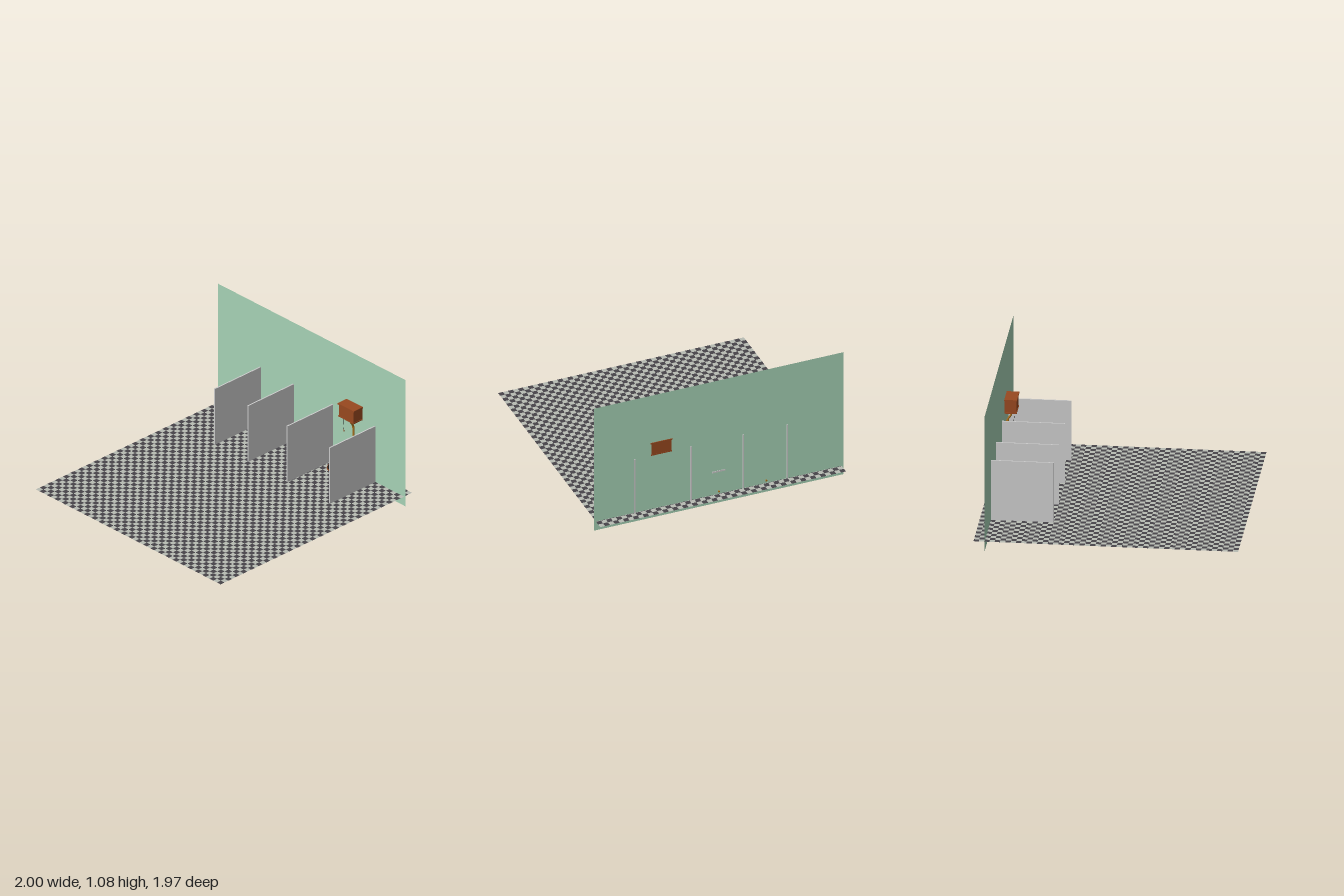
import * as THREE from 'three';
import { mergeGeometries, toCreasedNormals } from 'three/addons/utils/BufferGeometryUtils.js';

const FLOOR = 0.077, WALL_Z = -0.902;
const paint = (color, extra = {}) => new THREE.MeshStandardMaterial({ color, ...extra });
const grey = paint(0xcccccc), black = paint(0x1c1c1c), wood = paint(0x98481f), brass = paint(0xa8701c);
const water = paint(0x333638);

function add(group, name, geometry, material, x = 0, y = 0, z = 0) {
  const mesh = new THREE.Mesh(geometry, material);
  mesh.name = name;
  mesh.position.set(x, y, z);
  group.add(mesh);
  return mesh;
}

// Box given by its centre x, and y and z ranges
const block = (group, name, material, x, w, y0, y1, z0, z1) =>
  add(group, name, new THREE.BoxGeometry(w, y1 - y0, z1 - z0), material, x, (y0 + y1) / 2, (z0 + z1) / 2);

function tube(group, name, material, points, radius) {
  const curve = new THREE.CatmullRomCurve3(points.map(p => new THREE.Vector3(...p)));
  return add(group, name, new THREE.TubeGeometry(curve, 32, radius, 8), material);
}

// Loft of rounded sections: each level is [y, half width, back z, front z];
// frontPower and backPower below 1 make that end squarer
function loft(levels, frontPower = 1, backPower = 0.45, n = 32) {
  const pos = [], index = [];
  const bend = (v, p) => Math.sign(v) * Math.abs(v) ** p;
  for (const [y, w, z0, z1] of levels) {
    const mid = z0 + (z1 - z0) * 0.42;
    for (let j = 0; j < n; j++) {
      const a = (j / n) * Math.PI * 2, c = Math.cos(a);
      const p = c >= 0 ? frontPower : backPower;
      pos.push(w * bend(Math.sin(a), p), y, mid + bend(c, p) * (c >= 0 ? z1 - mid : mid - z0));
    }
  }
  for (let i = 0; i < levels.length - 1; i++)
    for (let j = 0; j < n; j++) {
      const a = i * n + j, b = i * n + (j + 1) % n;
      index.push(a, b, b + n, a, b + n, a + n);
    }
  const g = new THREE.BufferGeometry();
  g.setAttribute('position', new THREE.Float32BufferAttribute(pos, 3));
  g.setIndex(index);
  return toCreasedNormals(g, 0.7);
}

// Chequered floor: one merged mesh per tile colour
function addFloor(root) {
  const n = 50, size = 1.97 / n, tiles = [[], []];
  for (let i = 0; i < n; i++)
    for (let j = 0; j < n; j++)
      tiles[(i + j) % 2].push(new THREE.PlaneGeometry(size, size).rotateX(-Math.PI / 2)
        .translate((i + 0.5) * size - 0.985, FLOOR, (j + 0.5) * size - 0.985));
  const both = { side: THREE.DoubleSide };
  add(root, 'darkTiles', mergeGeometries(tiles[0]), paint(0x47444a, both));
  add(root, 'lightTiles', mergeGeometries(tiles[1]), paint(0xb8bcb4, both));
}

function toiletGroup(root, name, x) {
  const g = new THREE.Group();
  g.name = name;
  g.position.x = x;
  root.add(g);
  return g;
}

// Brass supply stub that passes through the wall
function addStub(g) {
  const stub = new THREE.CylinderGeometry(0.007, 0.007, 0.05, 12).rotateX(Math.PI / 2);
  add(g, 'supplyStub', stub, brass, 0, 0.1, -0.885);
}

// Small toilet with a rounded, pointed bowl
function addSmallToilet(root) {
  const g = toiletGroup(root, 'smallToilet', -0.38);
  add(g, 'bowl', loft([
    [FLOOR, 0.043, -0.87, -0.755], [0.09, 0.041, -0.87, -0.76], [0.125, 0.033, -0.865, -0.765],
    [0.15, 0.037, -0.865, -0.75], [0.172, 0.044, -0.865, -0.733], [0.181, 0.045, -0.865, -0.73],
    [0.181, 0.031, -0.845, -0.745], [0.155, 0.024, -0.835, -0.765], [0.125, 0.012, -0.825, -0.79],
    [0.122, 0.0005, -0.81, -0.809],
  ]), grey);
  block(g, 'tankShelf', grey, 0, 0.07, 0.15, 0.181, -0.9, -0.85);
  block(g, 'tank', grey, 0, 0.068, 0.181, 0.258, -0.9, -0.857);
  block(g, 'tankLid', grey, 0, 0.074, 0.258, 0.267, -0.9, -0.852);
  add(g, 'flushButton', new THREE.CylinderGeometry(0.007, 0.007, 0.005, 16), brass, 0, 0.269, -0.89);
  addStub(g);
}

// Square-shouldered toilet with a wide seat
function addSquareToilet(root) {
  const g = toiletGroup(root, 'squareToilet', 0);
  add(g, 'pedestal', loft([
    [FLOOR, 0.045, -0.89, -0.725], [0.12, 0.043, -0.89, -0.728], [0.155, 0.046, -0.89, -0.712],
    [0.158, 0.056, -0.86, -0.702], [0.185, 0.058, -0.86, -0.7], [0.187, 0.056, -0.86, -0.702],
    [0.187, 0.038, -0.81, -0.715], [0.155, 0.03, -0.805, -0.73], [0.125, 0.015, -0.79, -0.755],
    [0.123, 0.0005, -0.771, -0.77],
  ], 0.5, 0.3), grey);
  block(g, 'tankShelf', grey, 0, 0.1, 0.155, 0.187, -0.9, -0.815);
  block(g, 'tank', grey, 0, 0.096, 0.187, 0.27, -0.9, -0.822);
  block(g, 'tankFrontPanel', grey, 0, 0.08, 0.195, 0.265, -0.83, -0.818);
  block(g, 'tankLid', grey, 0, 0.106, 0.27, 0.283, -0.905, -0.815);
  add(g, 'flushButton', new THREE.CylinderGeometry(0.008, 0.008, 0.004, 16), grey, 0, 0.285, -0.86);
  addStub(g);
}

// High-tank toilet with dark bowl, wooden tank and brass pipe
function addHighTankToilet(root) {
  const g = toiletGroup(root, 'highTankToilet', 0.46);
  add(g, 'bowl', loft([
    [FLOOR, 0.062, -0.83, -0.67], [0.088, 0.06, -0.828, -0.673], [0.105, 0.045, -0.815, -0.69],
    [0.13, 0.036, -0.81, -0.695], [0.155, 0.045, -0.815, -0.67], [0.175, 0.06, -0.815, -0.645],
    [0.188, 0.062, -0.815, -0.64], [0.188, 0.046, -0.78, -0.658], [0.16, 0.035, -0.775, -0.675],
    [0.125, 0.018, -0.75, -0.7], [0.123, 0.0005, -0.726, -0.725],
  ]), black);
  add(g, 'water', loft([[0.14, 0.026, -0.765, -0.685], [0.14, 0.0005, -0.73, -0.729]]), water);
  // Seat ring with wooden edges
  add(g, 'seat', loft([
    [0.188, 0.064, -0.79, -0.636], [0.198, 0.062, -0.79, -0.638],
    [0.198, 0.044, -0.772, -0.662], [0.188, 0.043, -0.771, -0.663],
  ]), black);
  add(g, 'seatOuterEdge', loft([
    [0.188, 0.067, -0.792, -0.633], [0.195, 0.067, -0.792, -0.633], [0.195, 0.063, -0.789, -0.637],
  ]), wood);
  add(g, 'seatInnerEdge', loft([
    [0.198, 0.045, -0.773, -0.661], [0.2, 0.045, -0.773, -0.661],
    [0.2, 0.041, -0.77, -0.665], [0.188, 0.041, -0.77, -0.665],
  ]), wood);
  block(g, 'inletNeck', black, 0, 0.085, 0.155, 0.19, -0.835, -0.785);
  for (const s of [-1, 1]) {
    const hinge = new THREE.CylinderGeometry(0.006, 0.006, 0.022, 12).rotateZ(Math.PI / 2);
    add(g, 'seatHinge', hinge, black, s * 0.035, 0.196, -0.795);
  }
  // Tank
  block(g, 'tank', wood, 0, 0.158, 0.556, 0.65, -0.905, -0.813);
  block(g, 'tankLid', wood, 0, 0.174, 0.65, 0.66, -0.907, -0.807);
  block(g, 'tankBaseTrim', wood, 0, 0.166, 0.548, 0.556, -0.906, -0.81);
  // Pipes and pull chain
  tube(g, 'flushPipe', brass, [[0, 0.55, -0.855], [0, 0.51, -0.86], [0, 0.47, -0.885], [0, 0.35, -0.888],
    [0, 0.24, -0.885], [0, 0.19, -0.865], [0, 0.173, -0.825]], 0.0075);
  for (const y of [0.3, 0.46])
    add(g, 'pipeCollar', new THREE.CylinderGeometry(0.01, 0.01, 0.012, 16), brass, 0, y, -0.887);
  tube(g, 'pullChain', black, [[-0.046, 0.55, -0.835], [-0.047, 0.51, -0.833], [-0.046, 0.47, -0.835],
    [-0.047, 0.445, -0.834]], 0.0015);
  add(g, 'chainHandle', new THREE.CylinderGeometry(0.002, 0.004, 0.02, 12), wood, -0.047, 0.437, -0.834);
  tube(g, 'supplyPipe', brass, [[-0.045, 0.14, -0.9], [-0.045, 0.145, -0.875], [-0.046, 0.17, -0.865],
    [-0.035, 0.18, -0.83]], 0.0035);
}

export function createModel() {
  const root = new THREE.Group();
  root.name = 'restroom';
  addFloor(root);
  add(root, 'backWall', new THREE.PlaneGeometry(2, 1.077), paint(0xa6d2b5, { side: THREE.DoubleSide }),
    0, 0.5385, WALL_Z);
  // Stall partitions
  for (const x of [-0.549, -0.196, 0.224, 0.675])
    block(root, 'partition', grey, x, 0.011, FLOOR, 0.552, -0.908, -0.434);
  addSmallToilet(root);
  addSquareToilet(root);
  addHighTankToilet(root);
  return root;
}
